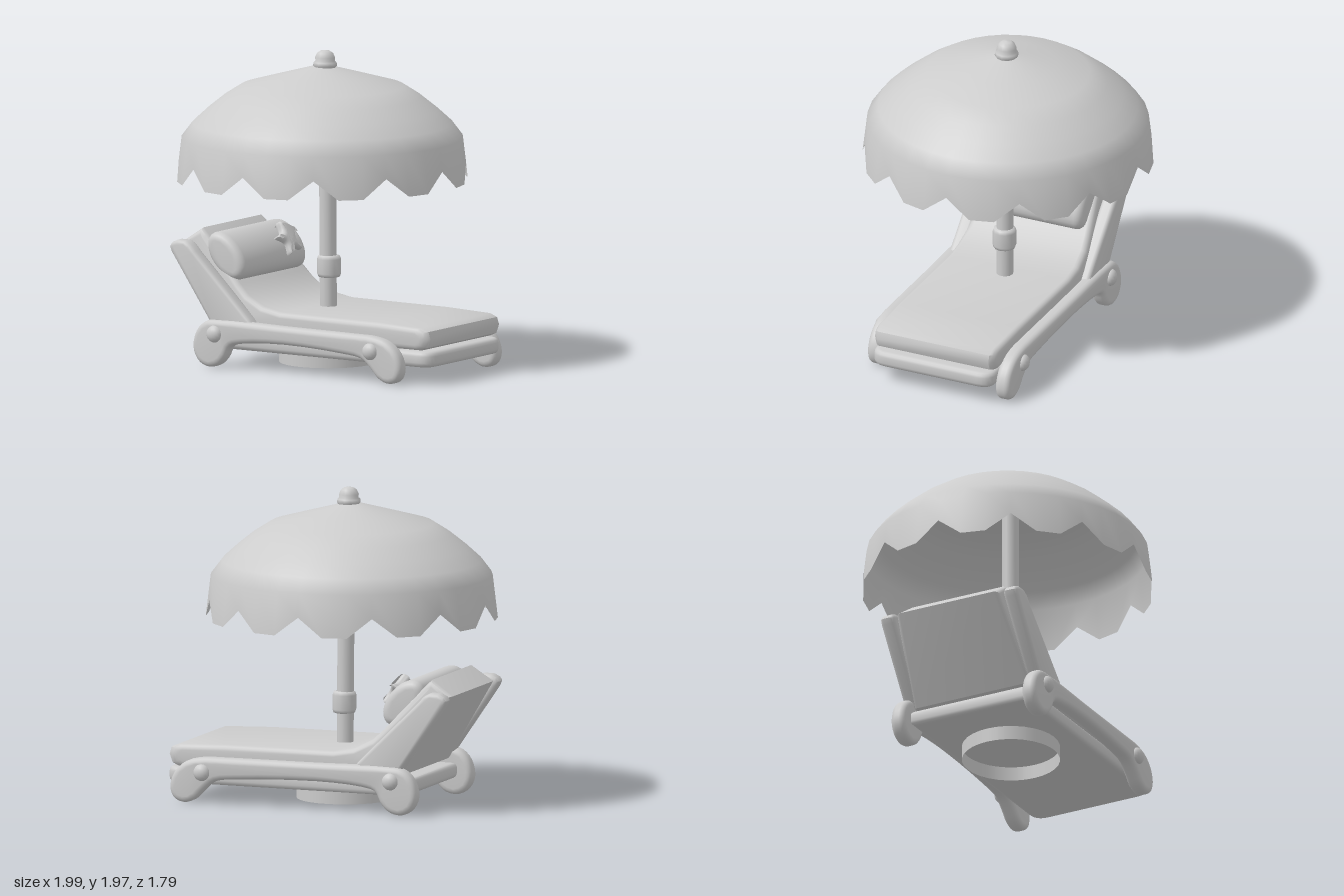
import * as THREE from 'three';
import { toCreasedNormals } from 'three/addons/utils/BufferGeometryUtils.js';

const V2 = (p) => new THREE.Vector2(p[0], p[1]);

export function createModel() {
  const group = new THREE.Group();
  const grey = new THREE.MeshStandardMaterial({ color: 0xcccccc, side: THREE.DoubleSide });
  grey.name = 'light grey';

  const add = (name, geometry, x = 0, y = 0, z = 0) => {
    const mesh = new THREE.Mesh(geometry, grey);
    mesh.name = name;
    mesh.position.set(x, y, z);
    group.add(mesh);
    return mesh;
  };

  // Slab with softened edges, its outline in xy and its thickness centred on z
  const slab = (points, depth, bevel, segments = 3) => {
    const g = new THREE.ExtrudeGeometry(new THREE.Shape(points), {
      depth: depth - 2 * bevel, bevelThickness: bevel, bevelSize: bevel,
      bevelOffset: -bevel, bevelSegments: segments, curveSegments: 8,
    });
    g.translate(0, 0, bevel - depth / 2);
    return g;
  };
  const smooth = (g) => toCreasedNormals(g, 0.7);

  const curve = (points, n) => new THREE.CatmullRomCurve3(
    points.map(([x, y]) => new THREE.Vector3(x, y, 0)), true, 'centripetal')
    .getPoints(n).slice(0, n).map((p) => new THREE.Vector2(p.x, p.y));

  const lathe = (points, n) => new THREE.LatheGeometry(points.map(V2), n);

  // Canopy: a dome with twelve scallops, three segments each
  const profile = [[0.91, 1.16], [0.878, 1.43], [0.81, 1.52], [0.72, 1.602],
    [0.62, 1.682], [0.51, 1.752], [0.3, 1.81], [0.07, 1.872], [0, 1.875]];
  const canopy = lathe(profile, 36);
  const cp = canopy.attributes.position;
  for (let i = 0; i <= 36; i += 3) {
    const k = i * profile.length;
    const a = (i / 36) * Math.PI * 2;
    cp.setXYZ(k, 0.896 * Math.sin(a), 1.28, 0.896 * Math.cos(a));
  }
  add('canopy', canopy, -0.09);

  // Finial, pole, collar and hollow base
  add('finial', lathe([[0.06, 1.86], [0.075, 1.88], [0.072, 1.9], [0.06, 1.91], [0.063, 1.93],
    [0.05, 1.958], [0.03, 1.972], [0, 1.976]], 12), -0.07);
  const pole = add('pole', new THREE.CylinderGeometry(0.053, 0.053, 1.7, 12), -0.05, 1.02);
  pole.rotation.z = 0.007;
  add('collar', lathe([[0.05, 0.55], [0.068, 0.555], [0.075, 0.575], [0.075, 0.665],
    [0.068, 0.685], [0.05, 0.69]], 12), -0.04);
  add('base', new THREE.CylinderGeometry(0.306, 0.306, 0.14, 32, 1, true), -0.047, 0.09, 0);

  // Deck with rounded corners in plan
  const deckShape = new THREE.Shape();
  const [x0, x1, w, r] = [-0.62, 1.0, 0.417, 0.1];
  deckShape.moveTo(x0, -w);
  deckShape.lineTo(x1 - r, -w);
  deckShape.quadraticCurveTo(x1, -w, x1, -w + r);
  deckShape.lineTo(x1, w - r);
  deckShape.quadraticCurveTo(x1, w, x1 - r, w);
  deckShape.lineTo(x0, w);
  const deck = slab(deckShape.getPoints(6), 0.1, 0.03);
  deck.rotateX(-Math.PI / 2);
  add('deck', smooth(deck), 0, 0.16, 0.017);

  // Mattress bent up into the backrest, narrowing towards its top
  const mattress = slab([[-0.58, 0.24], [-0.5, 0.215], [0.92, 0.215], [0.965, 0.235],
    [0.985, 0.29], [0.97, 0.335], [0.92, 0.355], [0.6, 0.367], [-0.126, 0.37], [-0.26, 0.395],
    [-0.38, 0.455], [-0.45, 0.52], [-0.715, 0.805], [-0.757, 0.845], [-0.9, 0.75]].map(V2), 0.84, 0.035, 4);
  const mp = mattress.attributes.position;
  for (let i = 0; i < mp.count; i++) {
    const t = THREE.MathUtils.clamp((mp.getY(i) - 0.37) / 0.48, 0, 1);
    // round the foot corners in plan as well
    const edge = Math.max(0, Math.abs(mp.getZ(i)) - 0.38) / 0.04;
    if (mp.getX(i) > 0.85) mp.setX(i, mp.getX(i) - 0.03 * edge);
    mp.setZ(i, mp.getZ(i) * (1 - 0.17 * t));
  }
  add('mattress', smooth(mattress), 0, 0, 0.01);

  // Side rails with feet, bolts and backrest arms
  const sides = [
    { name: 'left', sign: 1, z: 0.485, armZ: 0.458, shift: 0 },
    { name: 'right', sign: -1, z: -0.445, armZ: -0.415, shift: 0.1 },
  ];
  for (const { name, sign, z, armZ, shift: s } of sides) {
    const rail = curve([[-0.715, 0.12], [-0.69, 0.225], [-0.62, 0.29], [-0.5, 0.303], [0, 0.298],
      [0.5 + s, 0.295], [0.62 + s, 0.292], [0.73 + s, 0.265], [0.81 + s, 0.195], [0.84 + s, 0.1],
      [0.815 + s, 0.03], [0.745 + s, 0.003], [0.67 + s, 0.03], [0.61 + s, 0.09], [0.54 + s, 0.145],
      [0.4 + s, 0.165], [-0.05, 0.185], [-0.36, 0.165], [-0.435, 0.142], [-0.475, 0.07],
      [-0.53, 0.018], [-0.61, 0.003], [-0.68, 0.04]], 72);
    add(name + 'Rail', smooth(slab(rail, 0.1, 0.035, 4)), 0, 0, z);
    for (const [x, y] of [[-0.545, 0.215], [0.62 + s, 0.2]]) {
      const bolt = new THREE.SphereGeometry(0.054, 16, 10);
      bolt.scale(1, 1, 0.75);
      add(name + 'Bolt', bolt, x, y, z + sign * 0.045);
    }
    const arm = [[-0.6, 0.28], [-0.28, 0.28], [-0.315, 0.325], [-0.715, 0.715], [-0.75, 0.755],
      [-0.79, 0.778], [-0.85, 0.778], [-0.89, 0.76], [-0.905, 0.735], [-0.89, 0.7]].map(V2);
    add(name + 'BackrestArm', smooth(slab(arm, 0.095, 0.025)), 0, 0, armZ);
  }

  // Pillow resting on the backrest
  const oval = [];
  for (let i = 0; i < 28; i++) {
    const a = (i / 28) * Math.PI * 2;
    oval.push(new THREE.Vector2(0.172 * Math.cos(a), 0.105 * Math.sin(a)));
  }
  const pillow = add('pillow', smooth(slab(oval, 0.745, 0.05, 5)), -0.56, 0.685, 0.032);
  pillow.rotation.z = -0.85;

  // Starfish ornament: arms rise from a flat rim to a domed centre
  const star = [];
  for (let i = 0; i < 10; i++) {
    const a = (i / 10) * Math.PI * 2 + Math.PI / 2;
    const d = i % 2 ? 0.062 : 0.118;
    star.push([d * Math.cos(a), d * Math.sin(a)]);
  }
  const starGeometry = slab(curve(star, 60), 0.07, 0.028, 4);
  const starfish = add('starfish', smooth(starGeometry), -0.46, 0.735, -0.16);
  starfish.rotation.order = 'YXZ';
  starfish.rotation.set(-0.53, Math.PI / 2, 0.15);

  return group;
}
